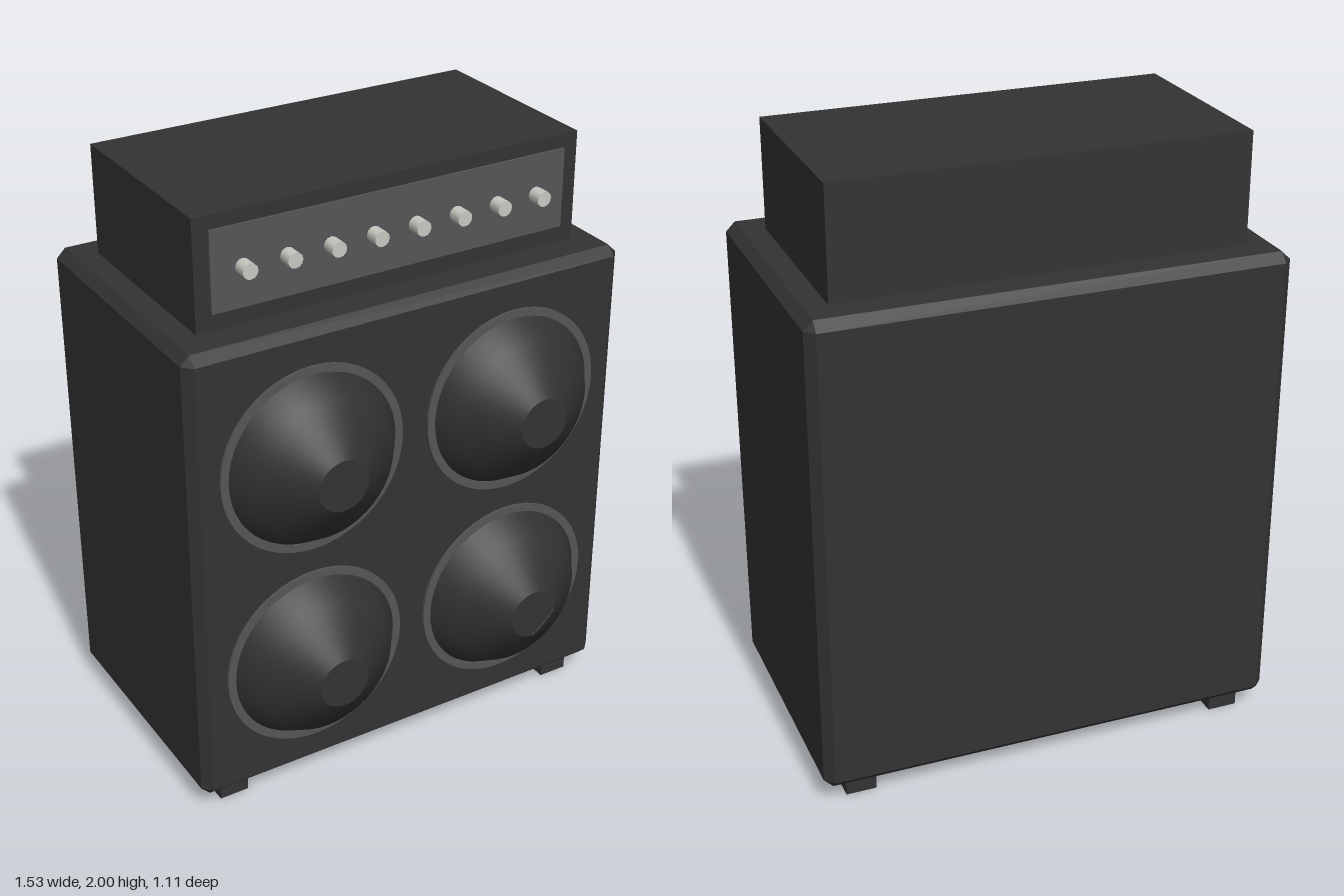
import * as THREE from 'three';
import { ConvexGeometry } from 'three/addons/geometries/ConvexGeometry.js';

const material = (name, color, side = THREE.FrontSide) => {
  const m = new THREE.MeshStandardMaterial({ color, side });
  m.name = name;
  return m;
};

// Box with every edge and corner cut by a flat chamfer c
function chamferBox(w, h, d, c) {
  const points = [];
  for (const x of [-1, 1]) for (const y of [-1, 1]) for (const z of [-1, 1]) {
    for (let full = 0; full < 3; full++) {
      const half = [w / 2, h / 2, d / 2].map((v, i) => (i === full ? v : v - c));
      points.push(new THREE.Vector3(x * half[0], y * half[1], z * half[2]));
    }
  }
  return new ConvexGeometry(points);
}

// Lathe turned so that its axis points forward; profile is [radius, depth]
function forwardLathe(profile, segments) {
  const points = profile.map(([r, z]) => new THREE.Vector2(r, z));
  return new THREE.LatheGeometry(points, segments).rotateX(Math.PI / 2);
}

export function createModel() {
  const model = new THREE.Group();
  model.name = 'amplifierStack';

  const covering = material('blackCovering', 0x333333);
  const paper = material('conePaper', 0x303030, THREE.DoubleSide);
  const trim = material('greyTrim', 0x555558);
  const metal = material('knobMetal', 0xc8c8c2);

  const add = (name, geometry, mat, x, y, z, parent = model) => {
    const mesh = new THREE.Mesh(geometry, mat);
    mesh.name = name;
    mesh.position.set(x, y, z);
    parent.add(mesh);
    return mesh;
  };

  // Speaker cabinet and feet
  add('cabinet', chamferBox(1.535, 1.58, 0.92, 0.03), covering, 0, 0.85, -0.09);
  const foot = new THREE.BoxGeometry(0.1, 0.06, 0.1);
  for (const x of [-0.64, 0.64]) for (const z of [-0.45, 0.27]) {
    add('foot', foot, covering, x, 0.03, z);
  }

  // Four speakers: a bulging cone, open at its tip, inside a flat rim
  const cone = forwardLathe([[0.29, 0], [0.235, 0.08], [0.085, 0.185]], 48);
  const rimShape = new THREE.Shape().absarc(0, 0, 0.315, 0, Math.PI * 2);
  rimShape.holes.push(new THREE.Path().absarc(0, 0, 0.288, 0, Math.PI * 2, true));
  const rim = new THREE.ExtrudeGeometry(rimShape, { depth: 0.008, bevelEnabled: false, curveSegments: 24 });
  for (const x of [-0.36, 0.36]) for (const y of [0.49, 1.205]) {
    const speaker = new THREE.Group();
    speaker.name = 'speaker';
    speaker.position.set(x, y, 0.37);
    add('speakerCone', cone, paper, 0, 0, 0, speaker);
    add('speakerRim', rim, trim, 0, 0, 0, speaker);
    model.add(speaker);
  }

  // Amplifier head with control panel and knobs
  add('head', new THREE.BoxGeometry(1.33, 0.36, 0.67), covering, 0, 1.82, -0.095);
  add('controlPanel', new THREE.BoxGeometry(1.23, 0.26, 0.009), trim, 0, 1.825, 0.243);
  const knob = new THREE.CylinderGeometry(0.025, 0.025, 0.05, 12).rotateX(Math.PI / 2);
  for (let i = 0; i < 8; i++) {
    add('knob', knob, metal, -0.511 + i * 0.146, 1.825, 0.27);
  }

  return model;
}
